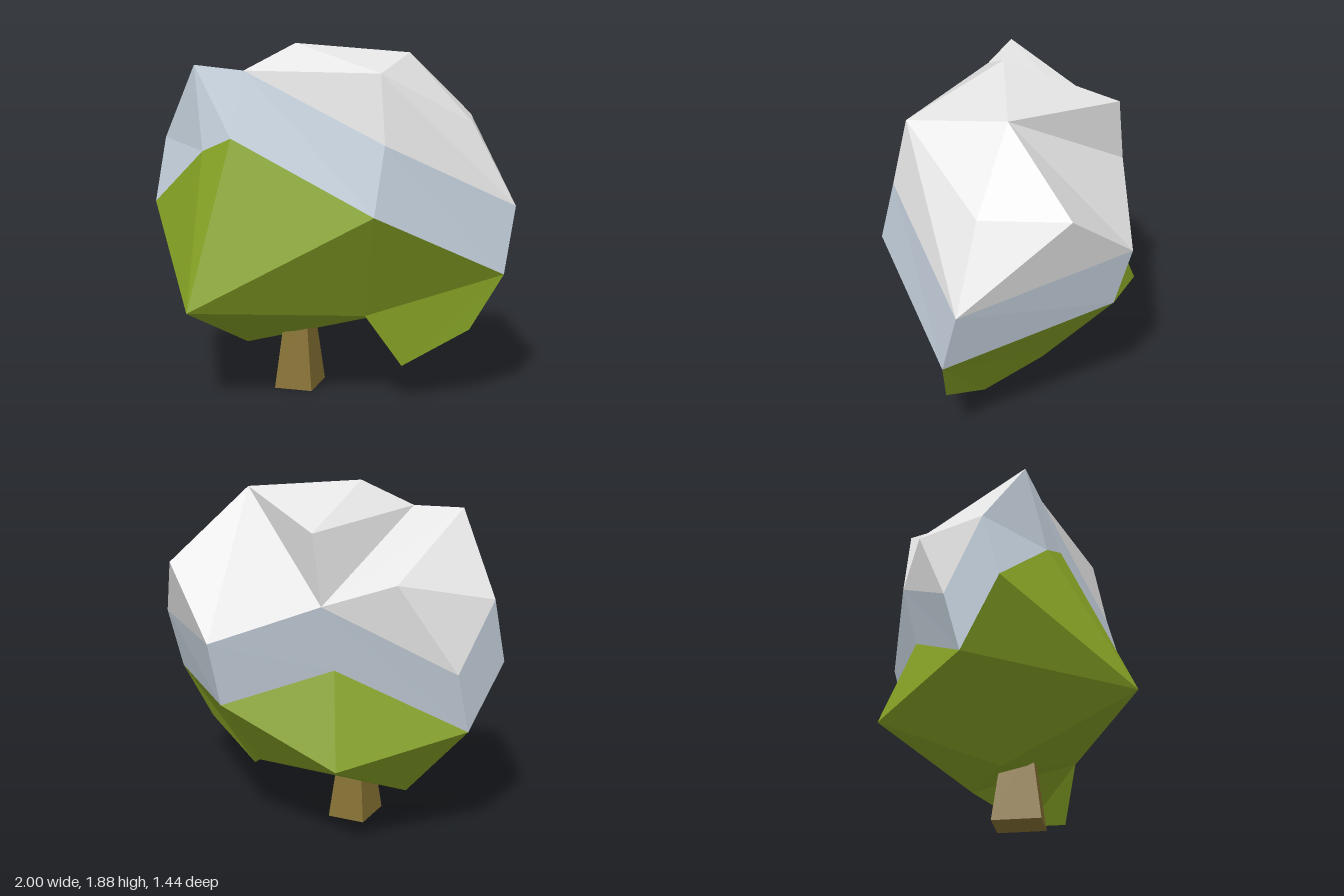
import * as THREE from 'three';

const mat = (name, color, flatShading = true) => {
  const m = new THREE.MeshStandardMaterial({ color, flatShading });
  m.name = name;
  return m;
};

// Builds a faceted shell from named corner points and faces written as strings of corner names
function shell(name, points, faces, material) {
  const pos = [];
  for (const face of faces) {
    const c = face.split(' ').map((k) => points[k]);
    for (let i = 1; i < c.length - 1; i++) pos.push(...c[0], ...c[i], ...c[i + 1]);
  }
  const geo = new THREE.BufferGeometry();
  geo.setAttribute('position', new THREE.Float32BufferAttribute(pos, 3));
  geo.computeVertexNormals();
  const mesh = new THREE.Mesh(geo, material);
  mesh.name = name;
  return mesh;
}

// Corners of the snow cap: s = rim (left, front, right, back), t = top
const snowPoints = {
  s0: [-0.97, 1.34, 0.01], s1: [-0.72, 1.76, 0.19], s2: [-0.42, 1.74, 0.24], s3: [0.42, 1.41, 0.51],
  s4: [1.0, 1.05, 0.01], s5: [0.3, 1.13, -0.72], s6: [-0.26, 1.35, -0.55], s7: [-0.86, 0.98, -0.2],
  t0: [-0.18, 1.88, 0.09], t1: [0.4, 1.83, -0.09], t2: [0.38, 1.76, 0.44], t3: [0.76, 1.47, -0.03],
  t4: [0.66, 1.47, -0.48], t5: [-0.2, 1.71, -0.53], t6: [-0.6, 1.46, -0.39],
};

// Corners of the foliage: g = rim under the snow, b = underside
const leafPoints = {
  g0: [-1.0, 0.99, 0.1], g1: [-0.64, 1.31, 0.29], g2: [-0.46, 1.39, 0.34], g3: [0.39, 1.06, 0.6],
  g4: [0.96, 0.7, 0.1], g5: [0.28, 0.78, -0.63], g6: [-0.29, 1.0, -0.46], g7: [-0.89, 0.65, -0.11],
  front: [-0.57, 0.53, 0.72], low: [-0.49, 0.2, 0.03], notch: [0.27, 0.48, 0.32],
  hollow: [0.27, 0.35, -0.25], back: [-0.38, 0.52, -0.63],
  lobeF: [0.45, 0.2, 0.24], lobeB: [0.45, 0.2, 0.03], lobeS: [0.79, 0.4, 0.14],
};

const snowFaces = [
  's0 s1 t6', 's1 s2 s6 t6', 's7 s0 t6 s6', 's2 t0 t5 s6', 's2 s3 t2 t0',
  't0 t2 t1', 't0 t1 t5', 't1 s6 t5', 't1 s5 s6', 't1 t4 s5', 't1 t3 t4',
  't1 t2 t3', 't2 s3 s4 t3', 's4 s5 t4 t3',
];

const leafFaces = [
  'g1 g0 front', 'g2 g1 front', 'g3 g2 front', 'g0 g7 front', 'g7 low front',
  'front low notch', 'low hollow notch', 'front notch g3', 'g3 notch g4',
  'g4 notch lobeF lobeS', 'notch hollow lobeB lobeF', 'lobeS lobeF lobeB',
  'g4 lobeS lobeB hollow', 'g4 hollow g5', 'g5 hollow back', 'g6 g5 back',
  'g7 g6 back', 'back hollow low', 'g7 back low',
];

export function createModel() {
  const snow = mat('snow', 0xe6e6e6);
  const snowEdge = mat('snow edge', 0xc5d1dd);
  const leaf = mat('leaf green', 0x84a024);
  const bark = mat('bark brown', 0x867133);

  const tree = new THREE.Group();
  tree.name = 'snowyTree';

  tree.add(shell('snowCap', snowPoints, snowFaces, snow));
  tree.add(shell('foliage', leafPoints, leafFaces, leaf));

  // Thick snow edge joining the two rims
  const band = [];
  for (let i = 0; i < 8; i++) {
    const j = (i + 1) % 8;
    band.push(`s${i} g${i} g${j} s${j}`);
  }
  tree.add(shell('snowEdge', { ...snowPoints, ...leafPoints }, band, snowEdge));

  // Tapered square trunk, running up into the foliage
  const height = 0.42;
  const trunkGeo = new THREE.BoxGeometry(0.21, height, 0.255);
  const p = trunkGeo.attributes.position;
  for (let i = 0; i < p.count; i++) {
    if (p.getY(i) > 0) p.setXYZ(i, p.getX(i) * 0.58, p.getY(i), p.getZ(i) * 0.58);
  }
  trunkGeo.computeVertexNormals();
  const trunk = new THREE.Mesh(trunkGeo, bark);
  trunk.name = 'trunk';
  trunk.position.set(-0.168, height / 2, 0.072);
  tree.add(trunk);

  return tree;
}
